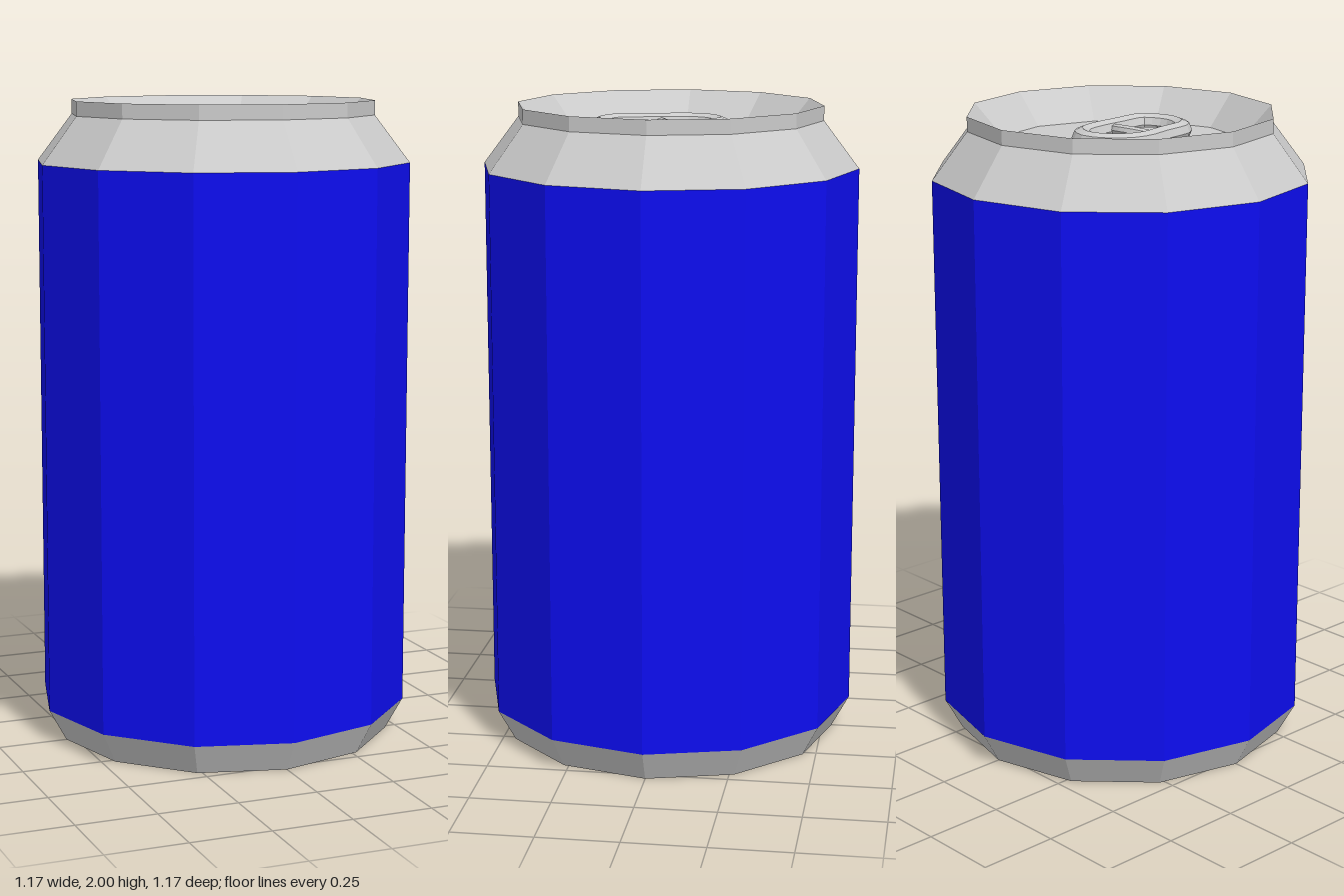
import * as THREE from 'three';

const SIDES = 12;
const LID_Y = 1.9;

export function createModel() {
  const can = new THREE.Group();
  can.name = 'drinkCan';
  const metal = new THREE.MeshStandardMaterial({ color: 0xcccccc, flatShading: true });
  const blue = new THREE.MeshStandardMaterial({ color: 0x0d0df0, flatShading: true });

  // Faceted mesh with one normal per face
  function add(parent, name, geometry, material) {
    const flat = geometry.index ? geometry.toNonIndexed() : geometry;
    flat.computeVertexNormals();
    const mesh = new THREE.Mesh(flat, material);
    mesh.name = name;
    parent.add(mesh);
    return mesh;
  }
  const lathe = (profile) =>
    new THREE.LatheGeometry(profile.map(([r, y]) => new THREE.Vector2(r, y)), SIDES);

  // Base: recessed underside, standing ring and lower bevel
  add(can, 'base', lathe([[0, 0.05], [0.34, 0.05], [0.42, 0], [0.53, 0], [0.585, 0.1]]), metal);

  // Coloured side wall
  add(can, 'body', lathe([[0.585, 0.1], [0.585, 1.81]]), blue);

  // Shoulder, rim and sunken lid
  add(can, 'shoulder', lathe([[0.585, 1.81], [0.475, 1.955]]), metal);
  add(can, 'rim', lathe([[0.475, 1.955], [0.475, 2], [0.385, LID_Y]]), metal);
  add(can, 'lid', lathe([[0.385, LID_Y], [0, LID_Y]]), metal);

  // Pull tab, turned slightly on the lid
  const tab = new THREE.Group();
  tab.name = 'pullTab';
  can.add(tab);
  const tube = (points, closed, segments, radius) =>
    new THREE.TubeGeometry(
      new THREE.CatmullRomCurve3(points.map(([x, z, y = 0]) => new THREE.Vector3(x, y, z)), closed),
      segments, radius, 8, closed);

  // Loop: wide round finger end at the back, narrower end around the rivet
  const loop = add(tab, 'tabLoop', tube([
    [-0.135, -0.045], [-0.11, -0.115], [-0.03, -0.155], [0.05, -0.115], [0.077, -0.045],
    [0.09, 0.06], [0.098, 0.17], [0.06, 0.203], [0.005, 0.217], [-0.05, 0.203],
    [-0.087, 0.17], [-0.112, 0.06],
  ], true, 28, 0.032), metal);
  loop.position.y = LID_Y + 0.027;

  // Bowed bar dividing the finger hole from the rivet
  const bar = add(tab, 'tabBar', tube([
    [-0.1, 0.045], [-0.05, 0.027, 0.006], [0.02, 0.022, 0.006], [0.085, 0.038],
  ], false, 8, 0.018), metal);
  bar.position.y = LID_Y + 0.027;

  // Rivet
  const rivet = add(tab, 'rivet', new THREE.CylinderGeometry(0.058, 0.058, 0.025, 16), metal);
  rivet.position.set(-0.003, LID_Y + 0.0125, 0.118);

  return can;
}
